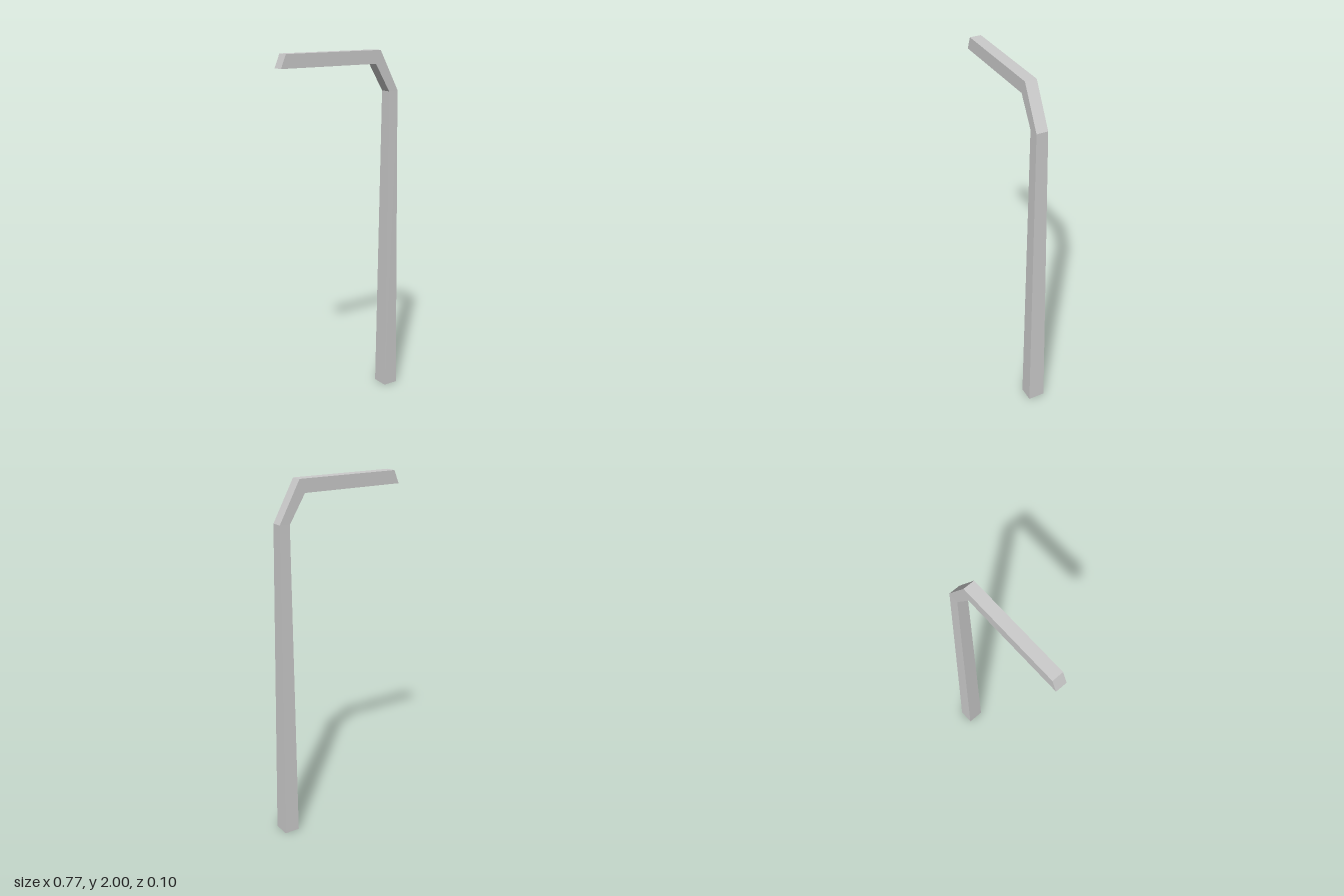
import * as THREE from 'three';

const material = new THREE.MeshStandardMaterial({ color: 0xcccccc, flatShading: true });

// Square cross-sections along the pole: inner x, y, outer x, y, half depth
const base = [0.296, 0, 0.383, 0, 0.048];
const postTop = [0.307, 1.773, 0.366, 1.777, 0.032];
const elbow = [0.214, 1.927, 0.245, 2, 0.032];
const tip = [-0.385, 1.927, -0.355, 2, 0.032];

// Joins the sections with flat sides, closing the start or end where asked
function loft(name, sections, capStart, capEnd) {
  const rings = sections.map(([ix, iy, ox, oy, d]) => [
    [ix, iy, d], [ox, oy, d], [ox, oy, -d], [ix, iy, -d],
  ]);
  const positions = [];
  const quad = (a, b, c, d) => positions.push(...a, ...b, ...c, ...a, ...c, ...d);

  for (let i = 0; i < rings.length - 1; i++) {
    const r = rings[i], s = rings[i + 1];
    for (let j = 0; j < 4; j++) {
      const k = (j + 1) % 4;
      quad(r[j], r[k], s[k], s[j]);
    }
  }
  if (capStart) {
    const [a, b, c, d] = rings[0];
    quad(a, d, c, b);
  }
  if (capEnd) quad(...rings[rings.length - 1]);

  const geometry = new THREE.BufferGeometry();
  geometry.setAttribute('position', new THREE.Float32BufferAttribute(positions, 3));
  geometry.computeVertexNormals();
  const mesh = new THREE.Mesh(geometry, material);
  mesh.name = name;
  return mesh;
}

export function createModel() {
  const group = new THREE.Group();
  group.name = 'bentPole';
  group.add(
    loft('post', [base, postTop], true, false), // tapered upright
    loft('elbow', [postTop, elbow], false, false), // slanted bend
    loft('arm', [elbow, tip], false, true), // overhang with a slanted tip
  );
  return group;
}
